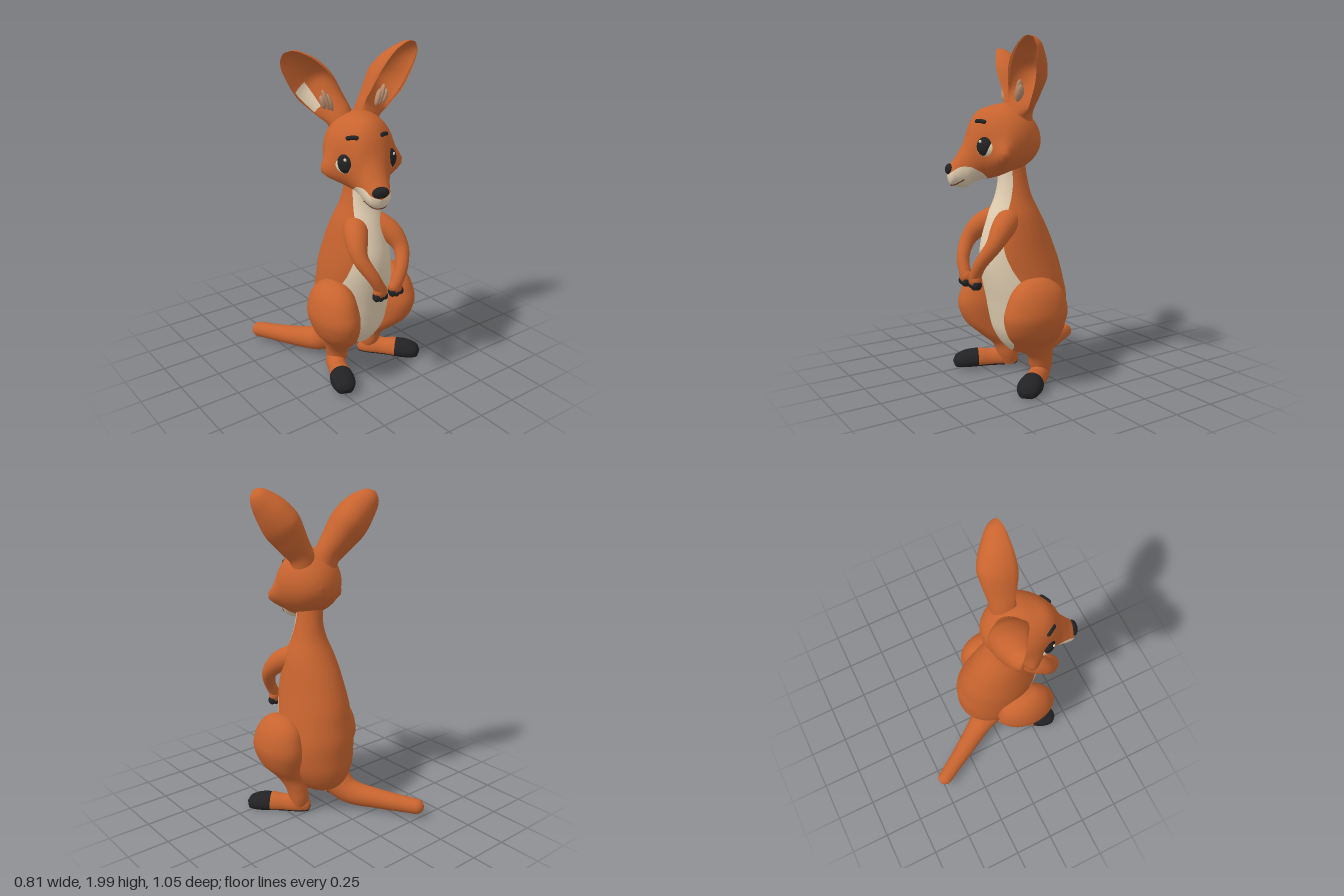
import * as THREE from 'three';

const mat = (name, color) => Object.assign(new THREE.MeshStandardMaterial({ color }), { name });

// Smooth interpolation through rows of key numbers, t from 0 to 1
function sample(keys, t) {
  const f = t * (keys.length - 1), i = Math.min(Math.floor(f), keys.length - 2), k = f - i;
  const [a, b, c, d] = [-1, 0, 1, 2].map(o => keys[Math.min(Math.max(i + o, 0), keys.length - 1)]);
  return b.map((_, n) => b[n] + 0.5 * k * (c[n] - a[n]
    + k * (2 * a[n] - 5 * b[n] + 4 * c[n] - d[n] + k * (3 * (b[n] - c[n]) + d[n] - a[n]))));
}

// Closed ring surface from fn(u, v) -> [x, y, z]; quads where alt(u, v) holds use the second material
function surface(rows, cols, fn, alt = () => false) {
  const pos = [], main = [], second = [];
  for (let i = 0; i <= rows; i++) for (let j = 0; j < cols; j++) pos.push(...fn(i / rows, j / cols));
  for (let i = 0; i < rows; i++) for (let j = 0; j < cols; j++) {
    const a = i * cols + j, b = i * cols + (j + 1) % cols, c = a + cols, d = b + cols;
    (alt((i + 0.5) / rows, (j + 0.5) / cols) ? second : main).push(a, b, d, a, d, c);
  }
  const index = [...main, ...second];
  // Turn all faces outward using the signed volume
  const P = n => new THREE.Vector3().fromArray(pos, index[n] * 3);
  let volume = 0;
  for (let n = 0; n < index.length; n += 3) volume += P(n).dot(P(n + 1).cross(P(n + 2)));
  if (volume < 0) for (let n = 0; n < index.length; n += 3) [index[n], index[n + 1]] = [index[n + 1], index[n]];
  const g = new THREE.BufferGeometry();
  g.setAttribute('position', new THREE.Float32BufferAttribute(pos, 3));
  g.setIndex(index);
  g.addGroup(0, main.length, 0);
  g.addGroup(main.length, second.length, 1);
  g.computeVertexNormals();
  return g;
}

// Ring angle that gives the first third of the columns to a patch of half-angle a
const split = (v, a) => v < 1 / 3 ? -a + 6 * a * v : a + (2 * Math.PI - 2 * a) * (v - 1 / 3) * 1.5;

// Round-ended limb through [x, y, z, radius] points
function limb(pts) {
  const curve = new THREE.CatmullRomCurve3(pts.map(p => new THREE.Vector3(p[0], p[1], p[2])));
  const rows = 32, cap = 5, frames = curve.computeFrenetFrames(rows - 2 * cap);
  return surface(rows, 20, (u, v) => {
    const i = Math.round(u * rows), k = Math.min(Math.max(i - cap, 0), rows - 2 * cap);
    const t = curve.getUtoTmapping(k / (rows - 2 * cap));
    const r = sample(pts, t)[3], bend = (i - cap - k) / cap * Math.PI / 2, a = v * Math.PI * 2;
    return curve.getPoint(t)
      .addScaledVector(frames.tangents[k], r * Math.sin(bend))
      .addScaledVector(frames.normals[k], r * Math.cos(bend) * Math.cos(a))
      .addScaledVector(frames.binormals[k], r * Math.cos(bend) * Math.sin(a)).toArray();
  });
}

export function createModel() {
  const fur = mat('orange fur', 0xc8642f), cream = mat('cream fur', 0xe2cfb2), dark = mat('black', 0x222224);
  const brown = mat('mouth brown', 0x6b3a26), tuft = mat('ear tuft', 0xb98d6e);
  const root = new THREE.Group();
  root.name = 'kangaroo';
  const add = (parent, name, geometry, material) => {
    const m = new THREE.Mesh(geometry, material);
    m.name = name;
    parent.add(m);
    return m;
  };
  const ball = (parent, name, material, [x, y, z], [sx, sy, sz], yaw = 0, roll = 0) => {
    const m = add(parent, name, new THREE.SphereGeometry(1, 24, 16), material);
    m.position.set(x, y, z);
    m.scale.set(sx, sy, sz);
    m.rotation.set(0, yaw, roll);
  };

  // Body with cream front: y, centre x, centre z, radius x, radius z, cream half-angle
  const bodyKeys = [
    [1.3, 0, .155, .075, .085, 1.1], [1.2, .012, .152, .08, .09, 1.1], [1.1, .015, .15, .105, .112, .95],
    [1, .015, .145, .142, .158, .78], [.9, .015, .135, .165, .2, .74], [.8, .015, .125, .183, .232, .79],
    [.7, .018, .108, .2, .25, .92], [.6, .025, .09, .213, .252, 1.08], [.5, .03, .07, .22, .25, 1],
    [.4, .03, .06, .22, .24, .75], [.3, .03, .05, .2, .225, .62], [.21, .03, .04, .15, .18, .48],
    [.155, .03, .04, .09, .11, .01], [.13, .03, .04, 0, 0, .01]];
  add(root, 'body', surface(78, 48, (u, v) => {
    const [y, cx, cz, rx, rz, a] = sample(bodyKeys, u), t = split(v, a);
    return [cx + rx * Math.sin(t), y, cz + rz * Math.cos(t)];
  }, (u, v) => v < 1 / 3 && u < .9), [fur, cream]);

  add(root, 'tail', limb([[-.05, .2, .01, .1], [-.1, .115, -.1, .078], [-.205, .09, -.27, .061], [-.328, .08, -.475, .048]]), fur);

  // Legs: y, centre x, centre z, radius x, radius z
  const legKeys = [
    [.65, .25, .14, 0, 0], [.635, .25, .14, .055, .085], [.58, .255, .14, .1, .155], [.5, .26, .145, .124, .19],
    [.42, .258, .15, .13, .2], [.32, .24, .147, .112, .167], [.24, .202, .115, .082, .12],
    [.17, .185, .075, .064, .082], [.1, .175, .063, .06, .07], [.04, .175, .06, .05, .05]];
  // Feet: z along the foot, half width, height
  const footKeys = [
    [-.065, 0, .05], [-.058, .035, .08], [0, .057, .115], [.1, .058, .105], [.17, .066, .112],
    [.25, .073, .105], [.315, .052, .08], [.338, 0, .045]];
  for (const side of [1, -1]) {
    const label = side > 0 ? 'left' : 'right', dx = side > 0 ? 0 : .06, dz = side > 0 ? 0 : .05;
    add(root, label + 'Leg', surface(54, 32, (u, v) => {
      const [y, cx, cz, rx, rz] = sample(legKeys, u), a = v * Math.PI * 2;
      return [side * cx + dx + Math.max(rx, 0) * Math.cos(a), y, cz + dz + Math.max(rz, 0) * Math.sin(a)];
    }), fur);
    const foot = add(root, label + 'Foot', surface(42, 28, (u, v) => {
      const [z, w, h] = sample(footKeys, u), s = Math.sin(v * Math.PI * 2);
      const grow = Math.min(1, Math.max(w, 0) / .04);
      return [Math.max(w, 0) * Math.cos(v * Math.PI * 2),
        .045 + (s > 0 ? (h - .045) * s : Math.max(-.035, .05 * s)) * grow, z];
    }, (u, v) => u > .6 || (v > .57 && v < .93)), [fur, dark]);
    foot.position.set(side > 0 ? .168 : -.128, side > 0 ? 0 : .02, .06 + dz);
    foot.rotation.y = side > 0 ? .74 : -.42;

    // Arms, paws and claws
    const ox = side > 0 ? .01 : .015;
    add(root, label + 'Arm', limb([[side * .055 + ox, .985, .2, .074], [side * .125 + ox, .925, .3, .066],
      [side * .15 + ox, .845, .37, .047], [side * .105 + ox, .74, .432, .037], [side * .06 + ox, .66, .442, .035]]), fur);
    ball(root, label + 'Paw', fur, [side * .058 + ox, .645, .44], [.046, .042, .036]);
    for (const k of [-1, 0, 1])
      ball(root, label + 'Claw', dark, [side * .06 + ox + k * .029, .61 + Math.abs(k) * .006, .442], [.018, .028, .028]);
  }

  // Head, turned and tilted
  const head = new THREE.Group();
  head.name = 'head';
  head.position.set(-.015, 1.42, .19);
  head.rotation.set(0, -.3, .04);
  root.add(head);
  // z, centre y, radius x, radius y, cream half-angle measured from below
  const headKeys = [
    [-.215, .01, 0, 0, .01], [-.2, .01, .065, .065, .01], [-.155, .015, .13, .13, .01], [-.08, .022, .182, .185, .01],
    [0, .015, .2, .205, .01], [.08, -.002, .182, .208, .05], [.15, -.02, .14, .199, .65], [.2, -.062, .108, .178, 1.05],
    [.24, -.13, .086, .132, 1.5], [.29, -.17, .072, .084, 1.85], [.325, -.185, .054, .054, 1.85], [.342, -.19, 0, 0, 1.85]];
  // Skull surface with soft cheek bulges
  const headPoint = (u, t, lift = 0) => {
    const [z, cy, rx, ry] = sample(headKeys, u), x = Math.sin(t);
    const w = Math.max(rx, 0) + lift, h = Math.max(ry, 0) + lift;
    const below = Math.acos(Math.min(1, Math.max(-1, Math.cos(t))));
    const cheek = .062 * Math.exp(-(((z - .055) / .055) ** 2) - ((below - 1.12) / .33) ** 2);
    return [w * x * (1 + .06 * Math.cos(t)) + cheek * Math.sign(x), cy - h * Math.cos(t), z];
  };
  add(head, 'skull', surface(88, 60, (u, v) => headPoint(u, split(v, sample(headKeys, u)[4])),
    (u, v) => v < 1 / 3 && u > .5), [fur, cream]);
  ball(head, 'nose', dark, [0, -.155, .326], [.048, .033, .025]);
  const mouth = [-1, -.6, -.2, .2, .6, 1].map(k => [...headPoint(.89 - .13 * k * k, k * .95, .001), .004]);
  add(head, 'mouth', limb(mouth), brown);

  // Ears: centre x, y, z, half width, back depth, inner depth (negative closes the base)
  const earKeys = [
    [.065, .1, -.07, .075, .08, -.05], [.09, .18, -.06, .08, .1, -.05], [.158, .27, -.05, .1, .14, .05],
    [.222, .355, -.045, .116, .165, .12], [.28, .435, -.05, .106, .14, .105], [.336, .5, -.06, .078, .09, .07],
    [.368, .537, -.066, .045, .05, .03], [.381, .553, -.07, 0, 0, 0]];
  const V = a => new THREE.Vector3(a[0], a[1], a[2]);
  const earPoint = (u, v) => {
    const k = sample(earKeys, u), a = v * Math.PI * 2, s = Math.sin(a);
    const along = V(sample(earKeys, Math.min(u + .01, 1))).sub(V(sample(earKeys, Math.max(u - .01, 0)))).normalize();
    const open = new THREE.Vector3(.6, 0, 1);
    open.addScaledVector(along, -open.dot(along)).normalize();
    const across = along.clone().cross(open), inner = s < 0;
    return V(k).addScaledVector(across, k[3] * Math.cos(a) * (inner ? 1 + .14 * s : 1))
      .addScaledVector(open, inner ? k[5] * s : -k[4] * s).toArray();
  };
  for (const side of [1, -1]) {
    const label = side > 0 ? 'left' : 'right';
    add(head, label + 'Ear', surface(48, 40, (u, v) => {
      const [x, y, z] = earPoint(u, v);
      return [side * x, y, z];
    }, (u, v) => side < 0 && v > .84 && v < .97 && u > .28 && u < .48), [fur, cream]);
    for (const [x, y, h] of [[.142, .27, .05], [.163, .285, .06], [.182, .275, .04]])
      ball(head, label + 'EarTuft', tuft, [side * x, y, -.05], [.015, h, .022], 0, side * -.3);

    // Eyes
    const yaw = side * .8;
    ball(head, label + 'EyeWhite', cream, [side * .117, -.04, .135], [.072, .054, .042], yaw);
    ball(head, label + 'Eye', dark, [side * .12, -.028, .139], [.054, .06, .045], yaw);
    ball(head, label + 'EyeGlint', cream, [side * .141, .002, .174], [.009, .009, .006], yaw);

    // Eyebrows
    const brow = [0, 1, 2].map(i => [...headPoint(.533 + .028 * i, side * (2.25 + .12 * i), .001), .012]);
    add(head, label + 'Eyebrow', limb(brow), dark);
  }
  return root;
}
